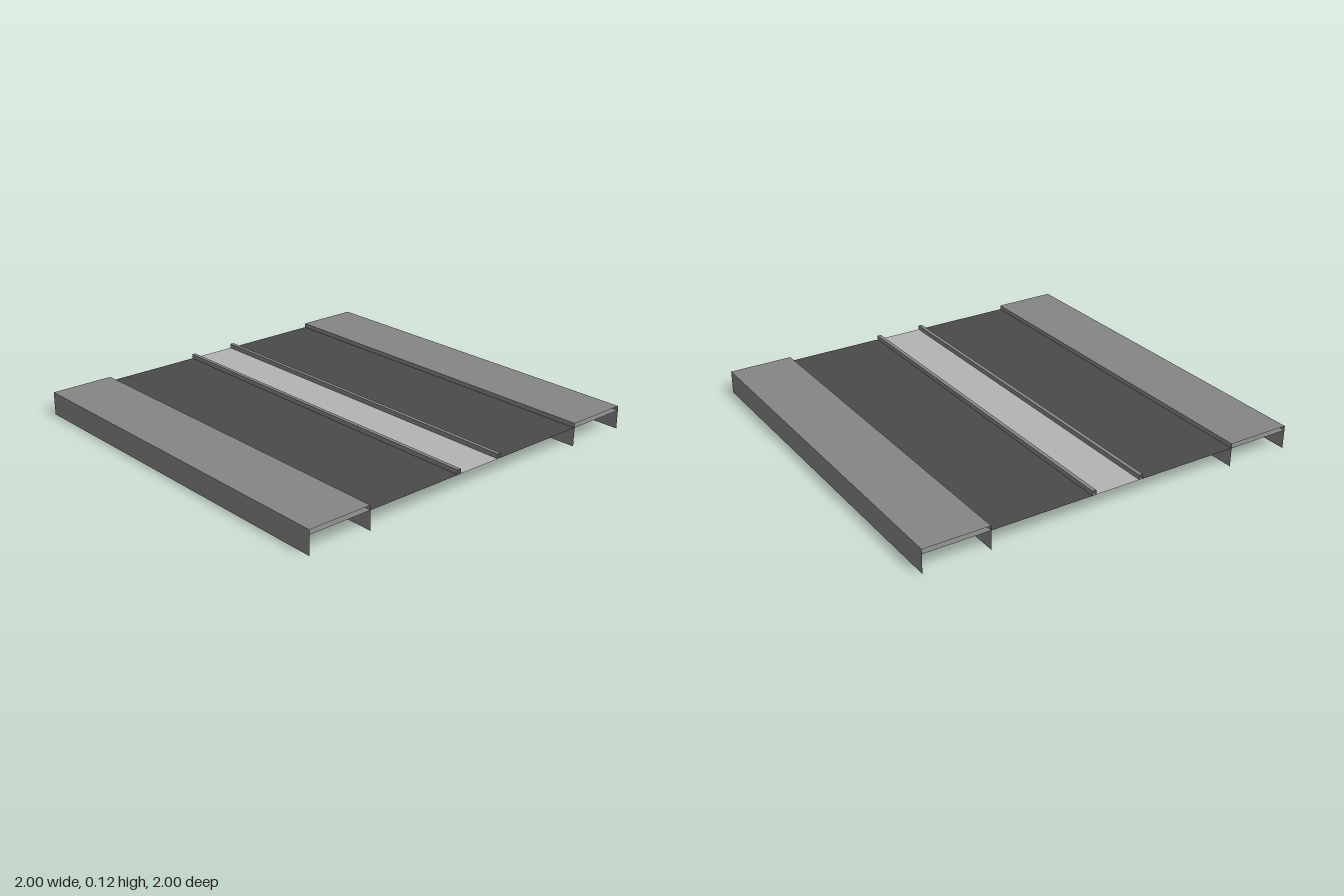
import * as THREE from 'three';
import { mergeGeometries } from 'three/addons/utils/BufferGeometryUtils.js';

const LENGTH = 2, TOP = 0.12, DECK = 0.097;
const WALK_IN = 0.665, CURB_OUT = 0.14, CURB_IN = 0.12;

function material(name, color) {
  const m = new THREE.MeshStandardMaterial({ color, side: THREE.DoubleSide });
  m.name = name;
  return m;
}

// Flat sheet running the full length; faces to the left of the direction a -> b.
function sheet([ax, ay], [bx, by]) {
  return new THREE.PlaneGeometry(Math.hypot(bx - ax, by - ay), LENGTH)
    .rotateX(-Math.PI / 2)
    .rotateZ(Math.atan2(by - ay, bx - ax))
    .translate((ax + bx) / 2, (ay + by) / 2, 0);
}

// Open-ended rectangular tube, with optional skirts hanging below its sides.
function channel(x0, x1, skirtY = DECK) {
  return mergeGeometries([
    sheet([x0, skirtY], [x0, TOP]),
    sheet([x0, TOP], [x1, TOP]),
    sheet([x1, TOP], [x1, skirtY]),
    sheet([x1, DECK], [x0, DECK]),
  ]);
}

export function createModel() {
  const group = new THREE.Group();
  group.name = 'roadSection';
  const concrete = material('concreteGrey', 0x858585);
  const asphalt = material('asphaltGrey', 0x4a4a4a);
  const paving = material('pavingLightGrey', 0xb3b3b3);

  const add = (name, geometry, mat) => {
    const mesh = new THREE.Mesh(geometry, mat);
    mesh.name = name;
    group.add(mesh);
  };

  for (const [side, s] of [['left', 1], ['right', -1]]) {
    const span = (a, b) => [s * a, s * b].sort((p, q) => p - q);

    // Raised sidewalk with side walls down to the ground
    add(side + 'Sidewalk', channel(...span(WALK_IN, 1), 0), concrete);

    // Carriageway
    const [r0, r1] = span(CURB_OUT, WALK_IN);
    add(side + 'Road', sheet([r0, DECK], [r1, DECK]), asphalt);

    // Narrow curb beside the median
    add(side + 'MedianCurb', channel(...span(CURB_IN, CURB_OUT)), concrete);
  }

  // Median strip between the curbs
  add('medianStrip', sheet([-CURB_IN, DECK], [CURB_IN, DECK]), paving);

  return group;
}
